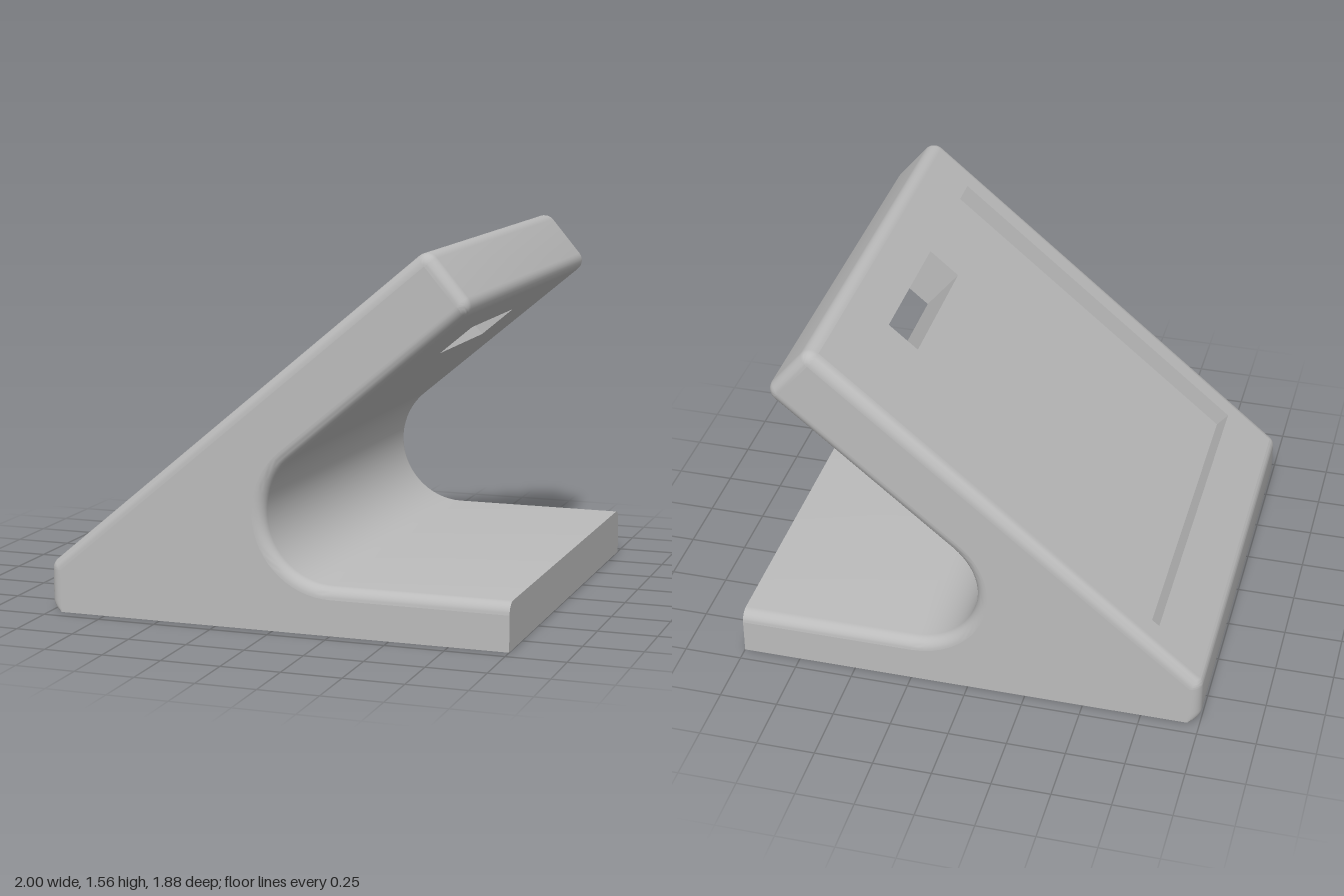
import * as THREE from 'three';
import { toCreasedNormals } from 'three/addons/utils/BufferGeometryUtils.js';

// Main dimensions
const HALF = 0.94;            // half width in z
const FIL = 0.05, R = 0.052;  // side fillet and profile corner radius
const TILT = 40 * Math.PI / 180;
const TX = 0.646, TY = 1.585; // upper tip corner of the sloping arm
const THICK = 0.3, BASE = 0.2, BEND = 0.286;
const POCKET = { u0: -1.875, u1: -0.243, w: 0.805, depth: 0.078 };
const SLOT = { u0: -0.424, u1: -0.243, w: 0.316 };

// Point on the arm: u along the slope, v square to it
const c = Math.cos(TILT), s = Math.sin(TILT);
const arm = (u, v) => [TX + u * c - v * s, TY + u * s + v * c];

// Centre of the inner bend, tangent to the base top and the arm underside
const bendY = BASE + BEND;
const bendX = TX + (THICK + BEND + (bendY - TY) * c) / s;
const bendU = (bendX - TX) * c + (bendY - TY) * s;
const footU = (-1 + R - TX - R * s) / c;

const UNDER_SEG = 26, SLOPE_SEG = 44; // profile segments replaced by panels

// Side profile, with its rounded edges moved inward by inset
function outline(inset) {
  const pts = [[1, 0], [1, BASE - inset]];
  const arc = ([x, y], rx, ry, from, to, n) => {
    for (let i = 0; i <= n; i++) {
      const a = (from + (to - from) * i / n) * Math.PI / 180;
      pts.push([x + rx * Math.cos(a), y + ry * Math.sin(a)]);
    }
  };
  const r = R - inset;
  arc([bendX, bendY], BEND + inset, BEND + inset, 270, 130, 24); // inner bend
  arc(arm(-R, R - THICK), r, r, -50, 40, 8);                     // lower tip
  arc(arm(-R, -R), r, r, 40, 130, 8);                            // upper tip
  arc(arm(footU, -R), r, r, 130, 180, 8);                        // foot of slope
  arc([-1 + R, R], r, R, 180, 270, 8);                           // heel
  return pts;
}

// Skin running across the width with rounded side edges
function skinGeometry() {
  const rings = [], N = 8;
  for (let i = 0; i <= N; i++) {
    const a = i / N * Math.PI / 2;
    rings.push([FIL * (1 - Math.sin(a)), HALF - FIL + FIL * Math.cos(a)]);
  }
  for (let i = N; i >= 0; i--) rings.push([rings[i][0], -rings[i][1]]);
  const pos = [], index = [];
  let n = 0;
  for (const [inset, z] of rings) {
    const pts = outline(inset);
    n = pts.length;
    for (const [x, y] of pts) pos.push(x, y, z);
  }
  for (let i = 0; i < rings.length - 1; i++) {
    for (let j = 0; j < n; j++) {
      if (i === N && (j === UNDER_SEG || j === SLOPE_SEG)) continue;
      const k = (j + 1) % n;
      const a = i * n + j, b = i * n + k, d = a + n, e = b + n;
      index.push(a, d, b, b, d, e);
    }
  }
  const g = new THREE.BufferGeometry();
  g.setAttribute('position', new THREE.Float32BufferAttribute(pos, 3));
  g.setIndex(index);
  return toCreasedNormals(g, 0.5);
}

const rect = (u0, u1, w) =>
  [[u0, -w], [u1, -w], [u1, w], [u0, w]].map(p => new THREE.Vector2(...p));

export function createModel() {
  const model = new THREE.Group();
  model.name = 'angledStand';
  const grey = new THREE.MeshStandardMaterial({ color: 0xbbbbbb });
  grey.name = 'grey';
  const add = (parent, name, geometry) => {
    const mesh = new THREE.Mesh(geometry, grey);
    mesh.name = name;
    parent.add(mesh);
    return mesh;
  };

  // Body skin and flat sides
  add(model, 'bodySkin', skinGeometry());
  for (const side of [1, -1]) {
    const pts = outline(FIL).map(([x, y]) => new THREE.Vector2(x * side, y));
    const g = new THREE.ShapeGeometry(new THREE.Shape(pts));
    if (side < 0) g.rotateY(Math.PI);
    g.translate(0, 0, side * HALF);
    add(model, side > 0 ? 'frontSide' : 'backSide', g);
  }

  // Sloping arm faces, in a frame tilted with the slope
  const slope = new THREE.Group();
  slope.name = 'slopingArm';
  slope.position.set(TX, TY, 0);
  slope.rotation.z = TILT;
  model.add(slope);

  const panel = (name, points, hole, y, facing) => {
    const shape = new THREE.Shape(points);
    if (hole) shape.holes.push(new THREE.Path(hole));
    const g = new THREE.ShapeGeometry(shape);
    g.rotateX(-facing * Math.PI / 2).translate(0, y, 0);
    add(slope, name, g);
  };
  const flatW = HALF - FIL;
  panel('slopeFace', rect(footU, -R, flatW),
    rect(POCKET.u0, POCKET.u1, POCKET.w), 0, 1);
  panel('armUnderside', rect(bendU, -R, flatW),
    rect(SLOT.u0, SLOT.u1, SLOT.w), -THICK, -1);

  // Pocket floor, notched where the slot passes through
  const P = POCKET, S = SLOT;
  const floor = [[P.u0, -P.w], [P.u1, -P.w], [P.u1, -S.w], [S.u0, -S.w],
    [S.u0, S.w], [P.u1, S.w], [P.u1, P.w], [P.u0, P.w]];
  panel('pocketFloor', floor.map(p => new THREE.Vector2(...p)), null, -P.depth, 1);

  // Inward facing walls of a rectangular opening
  const walls = (name, { u0, u1, w }, top, bottom) => {
    const h = top - bottom, y = (top + bottom) / 2, mid = (u0 + u1) / 2;
    const faces = [
      [2 * w, Math.PI / 2, u0, 0], [2 * w, -Math.PI / 2, u1, 0],
      [u1 - u0, Math.PI, mid, w], [u1 - u0, 0, mid, -w],
    ];
    for (const [length, turn, u, z] of faces) {
      add(slope, name, new THREE.PlaneGeometry(length, h).rotateY(turn).translate(u, y, z));
    }
  };
  walls('pocketWall', POCKET, 0, -P.depth);
  walls('slotWall', SLOT, -P.depth, -THICK);

  return model;
}
